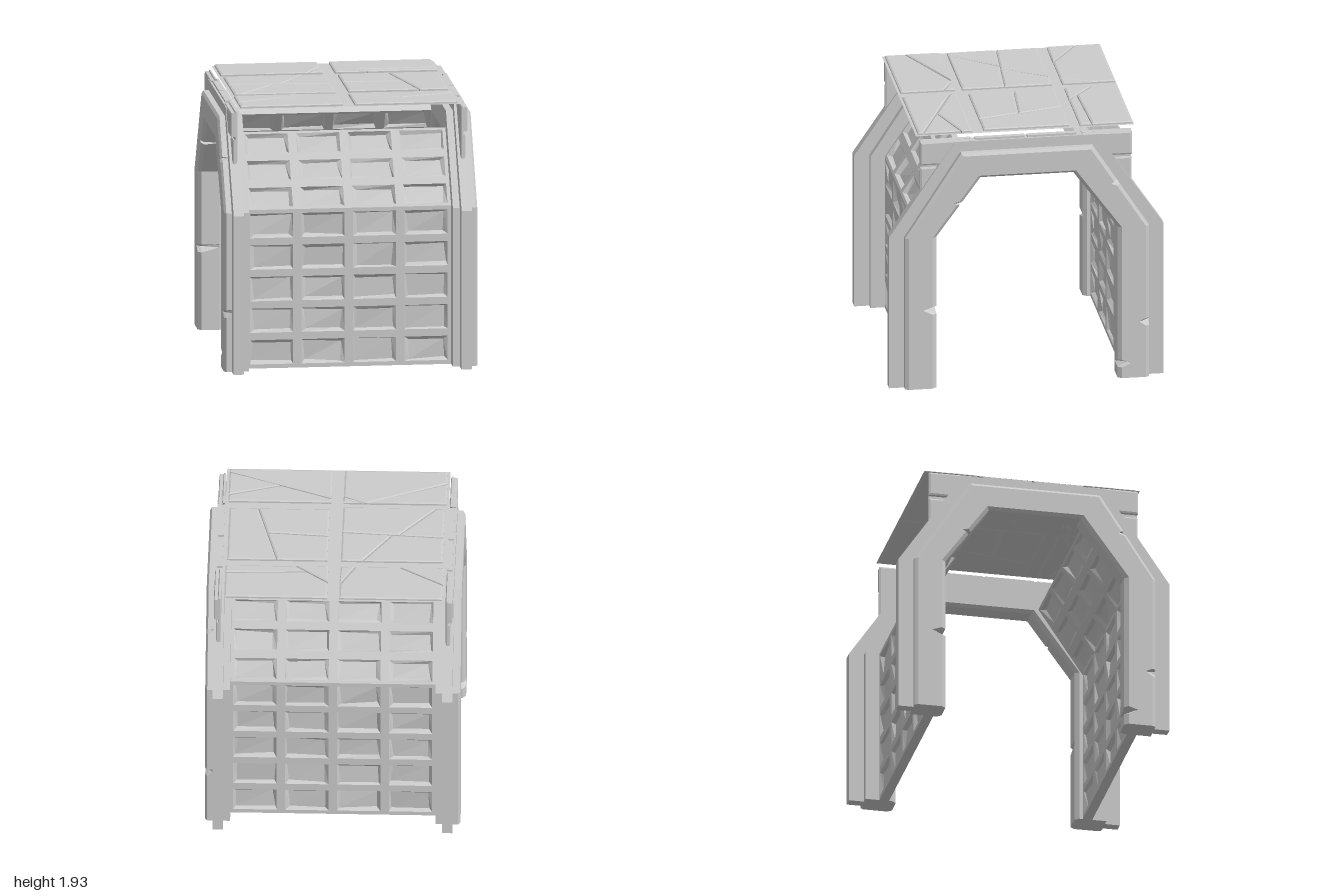
import * as THREE from 'three';

const grey = new THREE.MeshStandardMaterial({ color: 0xcccccc, flatShading: true });
const greyThin = new THREE.MeshStandardMaterial({ color: 0xcccccc, flatShading: true, side: THREE.DoubleSide });

let seed = 7;
const rnd = (a, b) => {
  seed = (seed * 16807) % 2147483647;
  return a + (b - a) * seed / 2147483647;
};

function add(parent, name, geometry, material = grey) {
  const mesh = new THREE.Mesh(geometry, material);
  mesh.name = name;
  parent.add(mesh);
}

// Collects flat quads into one geometry
function quads(list) {
  const pos = [];
  for (const [a, b, c, d] of list) for (const p of [a, b, c, a, c, d]) pos.push(...p);
  const g = new THREE.BufferGeometry();
  g.setAttribute('position', new THREE.Float32BufferAttribute(pos, 3));
  g.computeVertexNormals();
  return g;
}

const rect = (x0, y0, x1, y1) => [[x0, y0], [x1, y0], [x1, y1], [x0, y1]];
const vectors = (pts) => pts.map(([x, y]) => new THREE.Vector2(x, y));

// Plate with a small chamfer around both faces
const slab = (pts, depth) => new THREE.ExtrudeGeometry(new THREE.Shape(vectors(pts)), {
  depth, bevelThickness: 0.006, bevelSize: 0.012, bevelOffset: -0.016, bevelSegments: 1,
});

// ---- Arch frame: finned section swept over legs, slopes and lintel ----
const KNEE = 1.165;
// section from outside to inside: leg z, top z, top y, inner x, outer x
const SECTION = [
  [1.0, 0.52, 1.875, 0.79, 0.865],
  [0.89, 0.48, 1.8, 0.79, 0.865],
  [0.89, 0.48, 1.8, 0.74, 0.905],
  [0.865, 0.465, 1.78, 0.74, 0.92],
  [0.69, 0.355, 1.625, 0.74, 0.92],
  [0.66, 0.338, 1.605, 0.765, 0.895],
];
// chips: side, height (0-1 leg, 1-2 slope), section row, depth
const CHIPS = [
  [1, 0.52, 4, 0.07], [1, 1.56, 4, 0.04],
  [-1, 1.56, 2, -0.04], [-1, 0.37, 2, -0.05], [-1, 0.1, 4, 0.07],
];

// Section loop at height v on one side, with an optional chip
function archRing(side, v, chipRow, chip) {
  const u = Math.max(0, v - 1);
  const point = ([leg, t, top, xl, xr], k, right) => {
    const nick = right && (k === chipRow || k === chipRow + 1) ? chip : 0;
    const y = v <= 1 ? v * KNEE : KNEE + (top - KNEE) * u;
    return [right ? xr : xl, y, side * (leg + (t - leg) * u + nick)];
  };
  return [
    ...SECTION.map((r, k) => point(r, k, true)),
    ...SECTION.map((r, k) => point(r, k, false)).reverse(),
  ];
}

function archSide(side) {
  const stations = [[0], [1], [2]];
  for (const [s, v, row, depth] of CHIPS)
    if (s === side) stations.push([v - 0.03], [v, row, depth], [v + 0.02]);
  stations.sort((a, b) => side * (a[0] - b[0]));
  return stations.map((st) => archRing(side, ...st));
}

function archGeometry() {
  const rings = [...archSide(1), ...archSide(-1)];
  const list = [];
  const n = SECTION.length * 2;
  for (let j = 0; j < rings.length - 1; j++)
    for (let i = 0; i < n; i++) {
      const k = (i + 1) % n;
      list.push([rings[j][i], rings[j][k], rings[j + 1][k], rings[j + 1][i]]);
    }
  // feet
  const first = rings[0], last = rings[rings.length - 1];
  for (const k of [0, 2, 3, 4]) {
    list.push([first[n - 1 - k], first[n - 2 - k], first[k + 1], first[k]]);
    list.push([last[k], last[k + 1], last[n - 2 - k], last[n - 1 - k]]);
  }
  return quads(list);
}

// ---- Coffered wall: lattice with uneven sunken panes on both faces ----
const DEPTH = 0.07;

function wall(name, height, rows, y0, pitch, paneHeight) {
  const g = new THREE.Group();
  g.name = name;
  const lattice = new THREE.Shape(vectors(rect(-0.76, 0, 0.76, height)));
  const panes = [];
  for (let col = 0; col < 4; col++) for (let row = 0; row < rows; row++) {
    const x = -0.72 + col * 0.374, y = y0 + row * pitch;
    const rim = rect(x, y, x + 0.313, y + paneHeight);
    lattice.holes.push(new THREE.Path(vectors(rim)));
    for (const s of [1, -1]) {
      const outer = rim.map(([px, py]) => [px, py, (s - 1) * DEPTH / 2]);
      const floor = rim.map(([px, py]) => [
        px + (px === x ? 1 : -1) * rnd(0.008, 0.035),
        py + (py === y ? 1 : -1) * rnd(0.008, 0.028),
        -DEPTH / 2 + s * rnd(0.002, 0.02)]);
      const faces = [floor];
      for (let i = 0; i < 4; i++) {
        const k = (i + 1) % 4;
        faces.push([outer[i], outer[k], floor[k], floor[i]]);
      }
      for (const f of faces) panes.push(s > 0 ? f : f.reverse());
    }
  }
  const geo = new THREE.ExtrudeGeometry(lattice, { depth: DEPTH, bevelEnabled: false });
  add(g, 'lattice', geo.translate(0, 0, -DEPTH));
  add(g, 'sunkenPanes', quads(panes));
  return g;
}

function sideWall() {
  const g = new THREE.Group();
  g.name = 'sideWall';
  const lower = wall('lowerWall', KNEE, 5, 0.03, 0.232, 0.178);
  lower.position.z = 0.785;
  const upper = wall('slopedWall', 0.61, 3, 0.02, 0.21, 0.152);
  upper.position.set(0, KNEE, 0.785);
  upper.rotation.x = -0.59;
  g.add(lower, upper);
  return g;
}

// ---- Roof: rectangular panels (x, z) split along cracks ----
const PANELS = [
  { area: [-0.79, -0.79, -0.04, -0.4], cracks: [[-0.79, -0.61, -0.47, -0.4], [-0.04, -0.62, -0.15, -0.4]] },
  { area: [0.04, -0.79, 0.79, -0.4], cracks: [[0.04, -0.6, 0.28, -0.4], [0.2, -0.47, 0.79, -0.49]] },
  { area: [-0.78, -0.33, -0.04, 0.33],
    cracks: [[-0.78, -0.03, -0.04, 0.02], [-0.2, -0.33, -0.4, -0.01], [-0.46, 0, -0.72, 0.33]] },
  { area: [0.05, -0.33, 0.78, 0.3], cracks: [[0.42, -0.33, 0.57, 0.3], [0.05, -0.03, 0.49, 0]] },
  { area: [-0.79, 0.38, -0.04, 0.78], cracks: [[-0.79, 0.63, -0.22, 0.38], [-0.2, 0.38, -0.04, 0.46]] },
  { area: [0.04, 0.38, 0.79, 0.78], cracks: [[0.04, 0.43, 0.79, 0.74], [0.42, 0.58, 0.79, 0.46]] },
];

// Positive when p lies to the left of the line a-b
const sideOf = (a, b, p) => (b[0] - a[0]) * (p[1] - a[1]) - (b[1] - a[1]) * (p[0] - a[0]);

// Part of a convex outline to the left of the line a-b
function clip(pts, a, b) {
  const out = [];
  pts.forEach((p, i) => {
    const q = pts[(i + 1) % pts.length];
    const dp = sideOf(a, b, p), dq = sideOf(a, b, q);
    if (dp >= 0) out.push(p);
    if (dp * dq < 0) {
      const t = dp / (dp - dq);
      out.push([p[0] + (q[0] - p[0]) * t, p[1] + (q[1] - p[1]) * t]);
    }
  });
  return out;
}

// A crack splits only the piece that holds its midpoint
function splitPanel({ area, cracks }) {
  let pieces = [rect(...area)];
  for (const [x0, z0, x1, z1] of cracks) {
    const a = [x0, z0], b = [x1, z1], mid = [(x0 + x1) / 2, (z0 + z1) / 2];
    pieces = pieces.flatMap((pts) => {
      const inside = pts.every((p, i) => sideOf(p, pts[(i + 1) % pts.length], mid) > 0);
      return inside ? [clip(pts, a, b), clip(pts, b, a)] : [pts];
    });
  }
  return pieces;
}

function roof() {
  const g = new THREE.Group();
  g.name = 'roof';
  add(g, 'roofSheet', new THREE.PlaneGeometry(1.61, 1.59).rotateX(-Math.PI / 2).translate(0, 1.912, 0), greyThin);
  for (const pts of PANELS.flatMap(splitPanel))
    add(g, 'roofSlab', slab(pts, 0.012).rotateX(Math.PI / 2).translate(0, 1.924, 0));
  return g;
}

// Plates filling the corners between arch slope and roof
function cornerPlates() {
  const g = new THREE.Group();
  g.name = 'cornerPlates';
  for (const s of [1, -1]) {
    // top and bottom heights, with the inner edge following the slope
    const plate = (name, top, bottom, x, depth) => {
      const inner = (y) => 0.4 + (1.885 - y) * 0.62;
      const pts = [[inner(top), top], [0.775, top], [0.775, bottom], [inner(bottom), bottom]];
      const outline = pts.map(([z, y]) => [-s * z, y]);
      add(g, name, slab(outline, depth).rotateY(Math.PI / 2).translate(x, 0, 0));
    };
    plate('plateBacking', 1.895, 1.5, 0.816, 0.01);
    plate('upperPlate', 1.885, 1.7, 0.825, 0.03);
    plate('lowerPlate', 1.685, 1.5, 0.82, 0.02);
    add(g, 'lintelStrip', new THREE.BoxGeometry(0.04, 0.02, 0.36).translate(0.83, 1.88, s * 0.19));
  }
  return g;
}

export function createModel() {
  const model = new THREE.Group();
  model.name = 'archedShelter';
  // two opposite halves, turned about the vertical axis
  for (const turn of [0, Math.PI]) {
    const half = new THREE.Group();
    half.name = turn ? 'backRightHalf' : 'frontLeftHalf';
    add(half, 'archFrame', archGeometry());
    half.add(sideWall(), cornerPlates());
    half.rotation.y = turn;
    model.add(half);
  }
  model.add(roof());
  return model;
}
